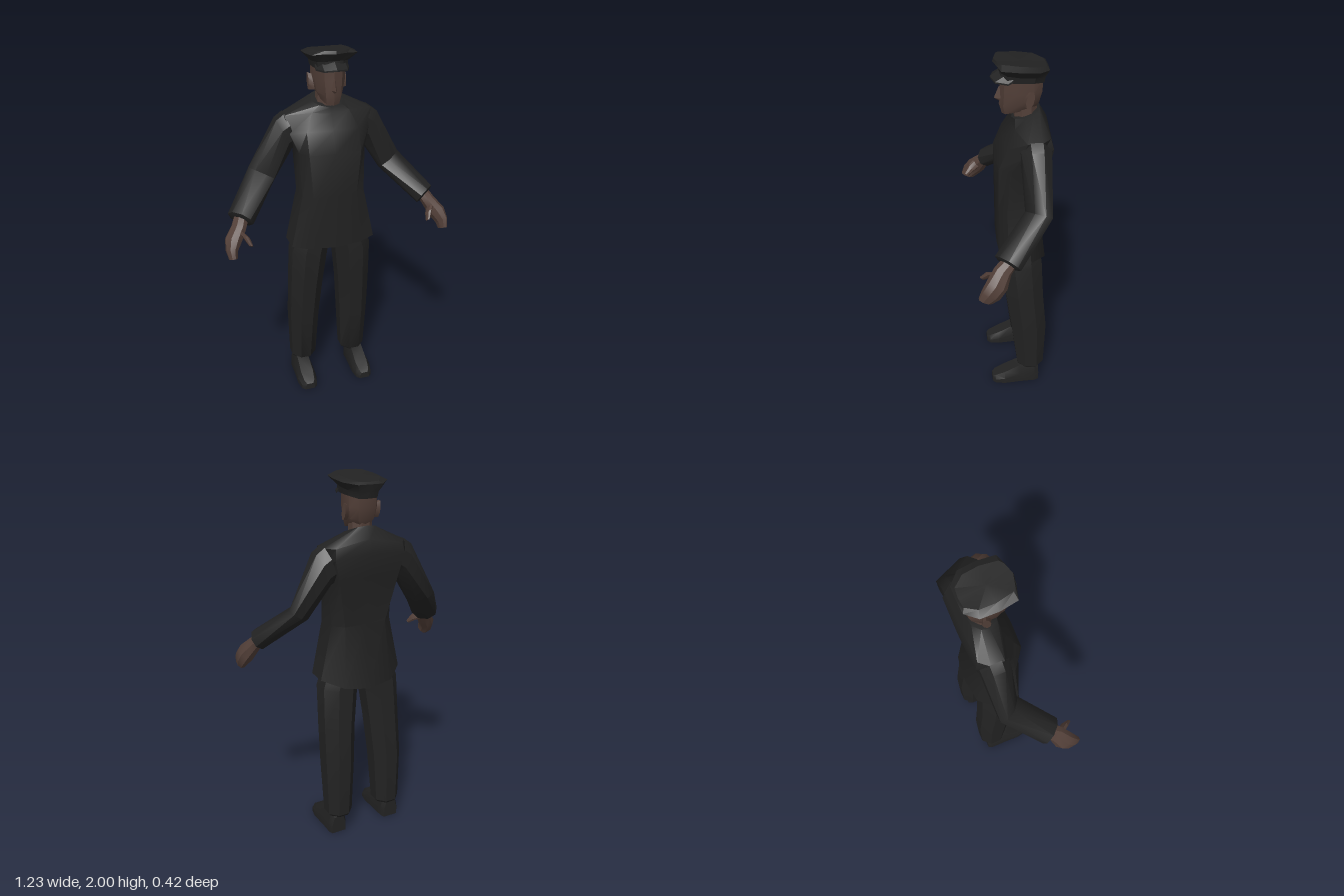
import * as THREE from 'three';
import { toCreasedNormals } from 'three/addons/utils/BufferGeometryUtils.js';

const cloth = new THREE.MeshStandardMaterial({ color: 0x222222 });
cloth.name = 'black cloth';
const skin = new THREE.MeshStandardMaterial({ color: 0x523f38 });
skin.name = 'brown skin';

// Closed skin over rings of [x, y, z] points, capped at both ends, always facing outward
function loft(rings, crease = 0.55) {
  const n = rings[0].length, last = rings.length - 1, tris = [];
  const centre = (r) => [0, 1, 2].map((k) => r.reduce((s, p) => s + p[k], 0) / n);
  const lo = centre(rings[0]), hi = centre(rings[last]);
  for (let j = 0; j < n; j++) {
    const k = (j + 1) % n;
    for (let i = 0; i < last; i++) {
      const a = rings[i][j], b = rings[i][k], c = rings[i + 1][k], d = rings[i + 1][j];
      tris.push([a, b, c], [a, c, d]);
    }
    tris.push([lo, rings[0][k], rings[0][j]], [hi, rings[last][j], rings[last][k]]);
  }
  // signed volume tells whether the rings ran the wrong way round
  let volume = 0;
  for (const [a, b, c] of tris) {
    volume += a[0] * (b[1] * c[2] - b[2] * c[1]) - a[1] * (b[0] * c[2] - b[2] * c[0])
      + a[2] * (b[0] * c[1] - b[1] * c[0]);
  }
  if (volume < 0) tris.forEach((t) => t.reverse());
  const geo = new THREE.BufferGeometry();
  geo.setAttribute('position', new THREE.Float32BufferAttribute(tris.flat(2), 3));
  return toCreasedNormals(geo, crease);
}

// Full ring from its +x half, listed front centre to back
const whole = (half) => [...half, ...half.filter((p) => p[0] > 0).reverse().map(([x, y, z]) => [-x, y, z])];

// Eight-sided ring around centre c with half-extent vectors u and v
function oval(c, u, v) {
  return Array.from({ length: 8 }, (_, i) => {
    const t = (i + 0.5) * Math.PI / 4, s = 1 / Math.cos(Math.PI / 8);
    return c.map((q, k) => q + s * (Math.cos(t) * u[k] + Math.sin(t) * v[k]));
  });
}

// Level ring given by its x and z limits
const level = (y, x0, x1, z0, z1) =>
  oval([(x0 + x1) / 2, y, (z0 + z1) / 2], [(x1 - x0) / 2, 0, 0], [0, 0, (z1 - z0) / 2]);

export function createModel() {
  const model = new THREE.Group();
  model.name = 'uniformedMan';
  const add = (name, rings, material, crease) => {
    const mesh = new THREE.Mesh(loft(rings, crease), material);
    mesh.name = name;
    model.add(mesh);
  };
  const addPair = (name, rings, material, crease) => {
    add('left' + name, rings, material, crease);
    add('right' + name, rings.map((r) => r.map(([x, y, z]) => [-x, y, z])), material, crease);
  };

  // Coat: hem, waist, chest, upper chest, shoulders, collar
  add('coat', [
    [[0, .915, .06], [.15, .925, .055], [.235, .935, .02], [.24, .935, -.1], [.14, .9, -.19], [0, .88, -.205]],
    [[0, 1.23, .065], [.12, 1.23, .06], [.172, 1.23, .02], [.175, 1.23, -.1], [.12, 1.23, -.15], [0, 1.23, -.155]],
    [[0, 1.47, .068], [.14, 1.47, .06], [.18, 1.47, 0], [.19, 1.47, -.1], [.17, 1.48, -.19], [0, 1.5, -.2]],
    [[0, 1.58, .025], [.14, 1.58, .015], [.215, 1.56, -.04], [.225, 1.56, -.12], [.2, 1.6, -.205], [0, 1.62, -.213]],
    [[0, 1.66, -.015], [.1, 1.67, -.025], [.235, 1.655, -.07], [.235, 1.655, -.14], [.19, 1.655, -.19], [0, 1.69, -.195]],
    [[0, 1.69, -.02], [.06, 1.705, -.03], [.085, 1.715, -.08], [.08, 1.73, -.12], [.05, 1.745, -.155], [0, 1.75, -.16]],
  ].map(whole), cloth, 0.7);

  // Sleeves: shoulder, elbow, cuff
  addPair('Sleeve', [
    oval([.2, 1.57, -.115], [0, 0, .075], [.03, .09, 0]),
    oval([.235, 1.548, -.115], [0, 0, .072], [.04, .08, 0]),
    oval([.36, 1.335, -.112], [-.035, 0, .06], [.05, .032, 0]),
    oval([.515, 1.17, .06], [-.05, 0, .05], [.02, .045, .02]),
    oval([.518, 1.165, .064], [-.038, 0, .038], [.014, .032, .014]),
  ], cloth, 0.6);

  // Hands: wrist, palm, knuckles, fingertips
  addPair('Hand', [
    oval([.51, 1.175, .05], [0, .018, .028], [.032, .008, -.015]),
    oval([.53, 1.14, .085], [0, .02, .034], [.034, .008, -.012]),
    oval([.568, 1.085, .118], [0, .026, .044], [.04, .01, -.008]),
    oval([.587, 1.04, .152], [0, .025, .042], [.028, .006, -.004]),
    oval([.585, 1.005, .178], [0, .016, .032], [.02, 0, 0]),
  ], skin, 0.5);
  addPair('Thumb', [
    oval([.54, 1.13, .1], [.018, .008, 0], [0, .015, .02]),
    oval([.508, 1.105, .15], [.018, .008, 0], [0, .014, .016]),
    oval([.49, 1.07, .185], [.01, .003, 0], [0, .008, .01]),
  ], skin, 0.5);

  // Trouser legs
  addPair('TrouserLeg', [
    level(.96, .005, .2, -.16, .045),
    level(.88, .022, .226, -.17, .05),
    level(.65, .048, .232, -.182, .022),
    level(.42, .066, .235, -.203, -.006),
    level(.125, .082, .227, -.195, -.04),
    level(.11, .092, .217, -.185, -.05),
  ], cloth, 0.5);

  // Shoes: sections from heel to toe as [z, half width, height]
  addPair('Shoe', [
    [-.165, .042, .1], [-.14, .052, .13], [-.05, .052, .12], [.04, .056, .075], [.095, .046, .05], [.113, .028, .038],
  ].map(([z, w, h]) => [[-1, 0], [1, 0], [1, .5], [.65, 1], [-.65, 1], [-1, .5]]
    .map(([a, b]) => [.172 + a * w, b * h, z])), cloth, 0.5);

  // Neck and head
  add('neck', [level(1.66, -.06, .06, -.145, -.035), level(1.8, -.055, .055, -.145, -.03)], skin);
  add('head', [
    [[0, 1.715, .028], [.033, 1.72, .015], [.05, 1.735, -.04], [.05, 1.75, -.1], [.03, 1.755, -.14], [0, 1.755, -.145]],
    [[0, 1.765, .042], [.04, 1.765, .025], [.07, 1.775, -.04], [.072, 1.78, -.11], [.045, 1.78, -.15], [0, 1.78, -.158]],
    [[0, 1.84, .038], [.045, 1.84, .02], [.08, 1.84, -.035], [.08, 1.84, -.12], [.048, 1.84, -.165], [0, 1.84, -.175]],
    [[0, 1.925, .04], [.05, 1.925, .024], [.08, 1.92, -.035], [.08, 1.92, -.12], [.048, 1.91, -.168], [0, 1.91, -.178]],
  ].map(whole), skin, 0.6);
  add('nose', [
    [[0, 1.855, .042], [.008, 1.855, .025]],
    [[0, 1.797, .066], [.018, 1.795, .025]],
    [[0, 1.782, .045], [.014, 1.782, .025]],
  ].map(whole), skin, 0.3);
  addPair('Ear', [
    oval([.068, 1.81, -.088], [0, .003, .014], [0, .036, -.01]),
    oval([.1, 1.818, -.1], [0, .004, .018], [0, .042, -.01]),
  ], skin, 0.4);

  // Cap: band, flared crown with a sloping flat top
  add('cap', [
    [[0, 1.905, .045], [.045, 1.905, .035], [.075, 1.902, .01], [.086, 1.9, -.05], [.085, 1.897, -.12], [.05, 1.885, -.172], [0, 1.885, -.182]],
    [[0, 1.945, .042], [.048, 1.942, .035], [.08, 1.938, .01], [.092, 1.932, -.05], [.09, 1.925, -.125], [.053, 1.915, -.178], [0, 1.915, -.187]],
    [[0, 1.985, .072], [.06, 1.985, .058], [.118, 1.98, .042], [.13, 1.973, -.05], [.125, 1.965, -.14], [.07, 1.955, -.195], [0, 1.955, -.197]],
    [[0, 2, .068], [.055, 2, .053], [.08, 1.998, .035], [.095, 1.99, -.05], [.09, 1.98, -.13], [.05, 1.968, -.182], [0, 1.966, -.187]],
  ].map(whole), cloth, 0.4);

  // Peak: stations across x as [x, inner y, inner z, outer y, outer z]
  const peak = [[.086, 1.92, -.02, 1.902, .005], [.06, 1.935, .015, 1.905, .066], [0, 1.945, .035, 1.91, .084]];
  const stations = [...peak, ...peak.slice(0, 2).reverse().map(([x, ...rest]) => [-x, ...rest])];
  add('capPeak', stations.map(([x, yi, zi, yo, zo]) =>
    [[x, yi, zi], [x, yo, zo], [x, yo - .008, zo], [x, yi - .012, zi]]), cloth, 0.4);

  return model;
}
